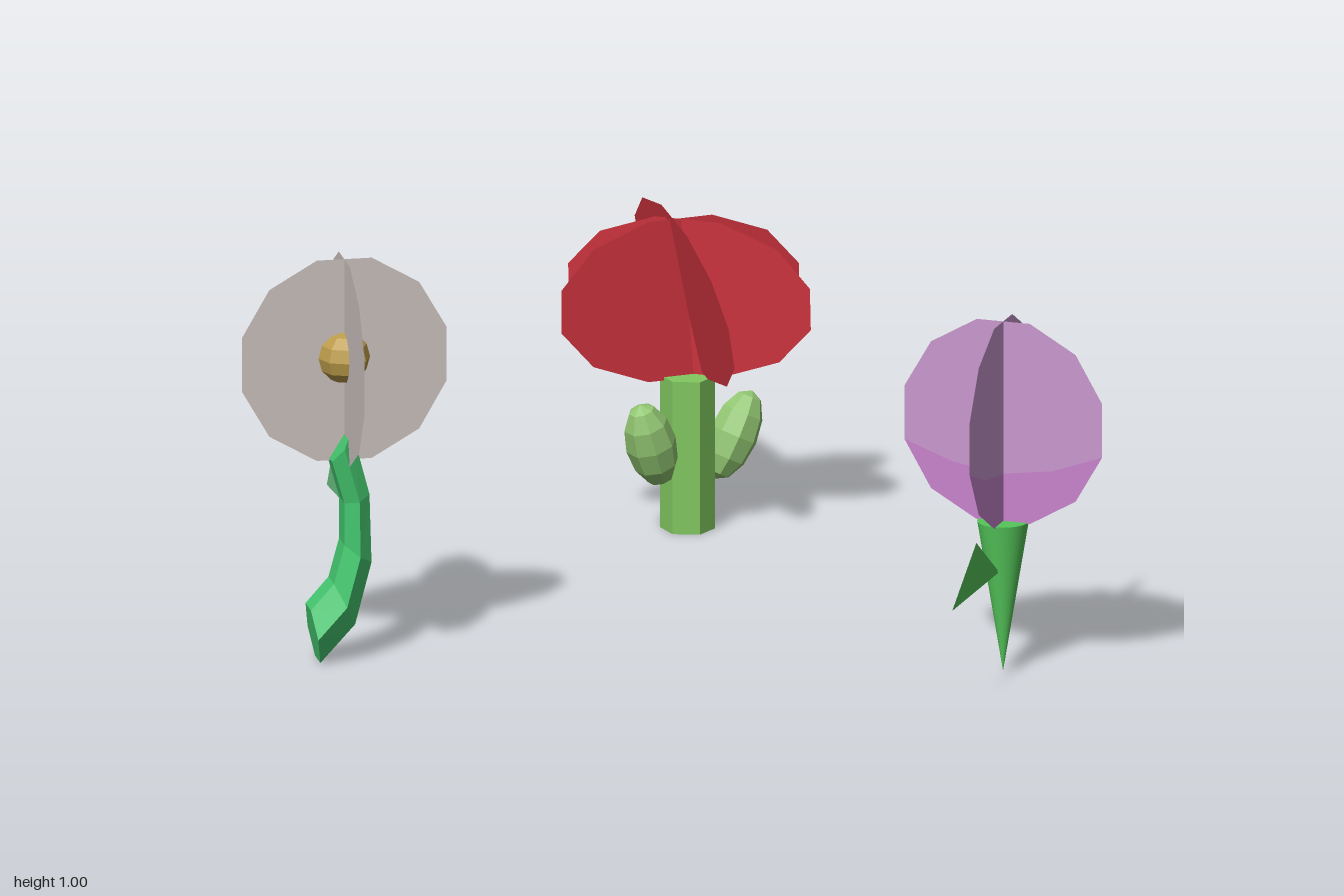
import * as THREE from 'three';

const V = (x, y, z) => new THREE.Vector3(x, y, z);

const mat = (name, color, double = false) => {
  const m = new THREE.MeshStandardMaterial({ color });
  m.name = name;
  if (double) m.side = THREE.DoubleSide;
  return m;
};

// Faceted mesh with a name
function part(name, geometry, material) {
  const flat = geometry.index ? geometry.toNonIndexed() : geometry;
  flat.computeVertexNormals();
  const mesh = new THREE.Mesh(flat, material);
  mesh.name = name;
  return mesh;
}

// Flat outline placed at a centre, with u and v as its two half axes
function plate(name, points, center, u, v, material) {
  const shape = new THREE.Shape(points.map(([x, y]) => new THREE.Vector2(x, y)));
  const n = u.clone().cross(v).normalize();
  const m = new THREE.Matrix4().makeBasis(u, v, n).setPosition(center);
  return part(name, new THREE.ShapeGeometry(shape).applyMatrix4(m), material);
}

// Twelve-sided outline with flat top and sides, unit half width
const dodecagon = [];
for (let i = 0; i < 12; i++) {
  const a = (i + 0.5) * Math.PI / 6;
  dodecagon.push([Math.cos(a) * 1.0353, Math.sin(a) * 1.0353]);
}

function ellipsoid(name, center, axis, radius, halfLength, material) {
  const q = new THREE.Quaternion().setFromUnitVectors(V(0, 1, 0), axis.normalize());
  const m = new THREE.Matrix4().compose(center, q, V(radius, halfLength, radius));
  return part(name, new THREE.SphereGeometry(1, 8, 6).applyMatrix4(m), material);
}

// Bent stem: each ring is [left x, left y, right x, right y]
function bentStem(rings, z, halfDepth, sides, material) {
  const pos = [], idx = [];
  for (const [lx, ly, rx, ry] of rings) {
    for (let i = 0; i < sides; i++) {
      const a = i / sides * Math.PI * 2, s = Math.sin(a) / 0.866 / 2;
      pos.push((lx + rx) / 2 + (rx - lx) * s, (ly + ry) / 2 + (ry - ly) * s, z + Math.cos(a) * halfDepth);
    }
  }
  for (let r = 0; r < rings.length - 1; r++) {
    for (let i = 0; i < sides; i++) {
      const a = r * sides + i, b = r * sides + (i + 1) % sides;
      idx.push(a, b, b + sides, a, b + sides, a + sides);
    }
  }
  const top = (rings.length - 1) * sides;
  for (let i = 1; i < sides - 1; i++) {
    idx.push(0, i + 1, i, top, top + i, top + i + 1);
  }
  const g = new THREE.BufferGeometry();
  g.setAttribute('position', new THREE.Float32BufferAttribute(pos, 3));
  g.setIndex(idx);
  return part('bentStem', g, material);
}

function paleFlower() {
  const g = new THREE.Group();
  g.name = 'paleFlower';
  const petal = mat('pale petal', 0xcbc1be, true);
  const c = V(-0.75, 0.75, 0.265);
  // Crossed petal discs and round centre
  g.add(plate('frontPetal', dodecagon, c, V(0.25, 0, 0), V(0, 0.25, 0), petal));
  g.add(plate('sidePetal', dodecagon, c, V(0, 0, -0.25), V(0, 0.25, 0), petal));
  g.add(ellipsoid('flowerCentre', V(-0.75, 0.755, 0.265), V(0, 1, 0), 0.063, 0.063, mat('gold', 0xbc9c4c)));
  g.add(bentStem([
    [-0.838, 0.137, -0.815, 0.005],
    [-0.782, 0.2, -0.73, 0.097],
    [-0.756, 0.295, -0.69, 0.25],
    [-0.756, 0.4, -0.695, 0.42],
    [-0.786, 0.505, -0.738, 0.583],
  ], 0.265, 0.067, 6, mat('sea green', 0x45c870, true)));
  g.add(plate('leaf', [[0.195, 0.355], [-0.085, 0.335], [0.07, 0.565]],
    V(-0.723, 0, 0), V(0, 0, 1), V(0, 1, 0), mat('pale leaf green', 0x6cc785, true)));
  return g;
}

function purpleFlower() {
  const g = new THREE.Group();
  g.name = 'purpleFlower';
  const upper = mat('lilac', 0xc898ce, true), lower = mat('orchid', 0xc884cd, true);
  const green = mat('bright green', 0x55c75a, true);
  const c = V(0.78, 0.623, 0.668), up = V(0, 0.25, 0);
  const dirA = V(0.866, 0, 0.5), dirB = V(-0.5, 0, 0.866);
  // Crossed petal discs, each with a deeper coloured lower edge
  const seam = [[0.5, -0.45], [0, -0.52], [-0.5, -0.45]];
  const topHalf = [...dodecagon.slice(0, 6), [-1, -0.268], ...[...seam].reverse(), [1, -0.268]];
  const bottomHalf = [...dodecagon.slice(6), ...seam];
  for (const d of [dirA, dirB]) {
    const u = d.clone().multiplyScalar(0.25);
    g.add(plate('petal', topHalf, c, u, up, upper));
    g.add(plate('petalBase', bottomHalf, c, u, up, lower));
  }
  // Tapering stem and triangular leaf
  const stem = new THREE.Mesh(new THREE.CylinderGeometry(0.062, 0, 0.375, 32), green);
  stem.name = 'taperedStem';
  stem.position.set(0.78, 0.1875, 0.665);
  g.add(stem);
  g.add(plate('leaf', [[0.03, 0.255], [0.38, 0.255], [0.2, 0.375]],
    V(0.78, 0, 0.667), dirB, V(0, 1, 0), green));
  return g;
}

function redFlower() {
  const g = new THREE.Group();
  g.name = 'redFlower';
  const red = mat('red', 0xd0343f, true);
  const bud = mat('soft bud green', 0x92c672), green = mat('leaf green', 0x82c860);
  // Three crossed oval petals, two of them tilted
  g.add(plate('widePetal', dodecagon, V(0.26, 0.572, -0.685), V(0.302, 0, -0.06), V(0, 0.2, 0), red));
  g.add(plate('tiltedPetal', dodecagon, V(0.27, 0.588, -0.683), V(0.055, -0.06, 0.302), V(-0.034, 0.193, 0.04), red));
  g.add(plate('diagonalPetal', dodecagon, V(0.2825, 0.575, -0.686), V(0.2625, 0, 0.165), V(-0.006, 0.195, 0.009), red));
  // Stem with two buds
  const stem = part('stem', new THREE.CylinderGeometry(0.066, 0.066, 0.38, 6), green);
  stem.position.set(0.277, 0.19, -0.68);
  stem.rotation.y = Math.PI / 12;
  g.add(stem);
  g.add(ellipsoid('leftBud', V(0.4, 0.21, -0.735), V(0.42, 0.87, -0.15), 0.06, 0.115, bud));
  g.add(ellipsoid('rightBud', V(0.173, 0.235, -0.608), V(-0.28, 0.95, 0.18), 0.062, 0.112, bud));
  return g;
}

export function createModel() {
  const model = new THREE.Group();
  model.name = 'flowers';
  model.add(paleFlower(), purpleFlower(), redFlower());
  return model;
}
